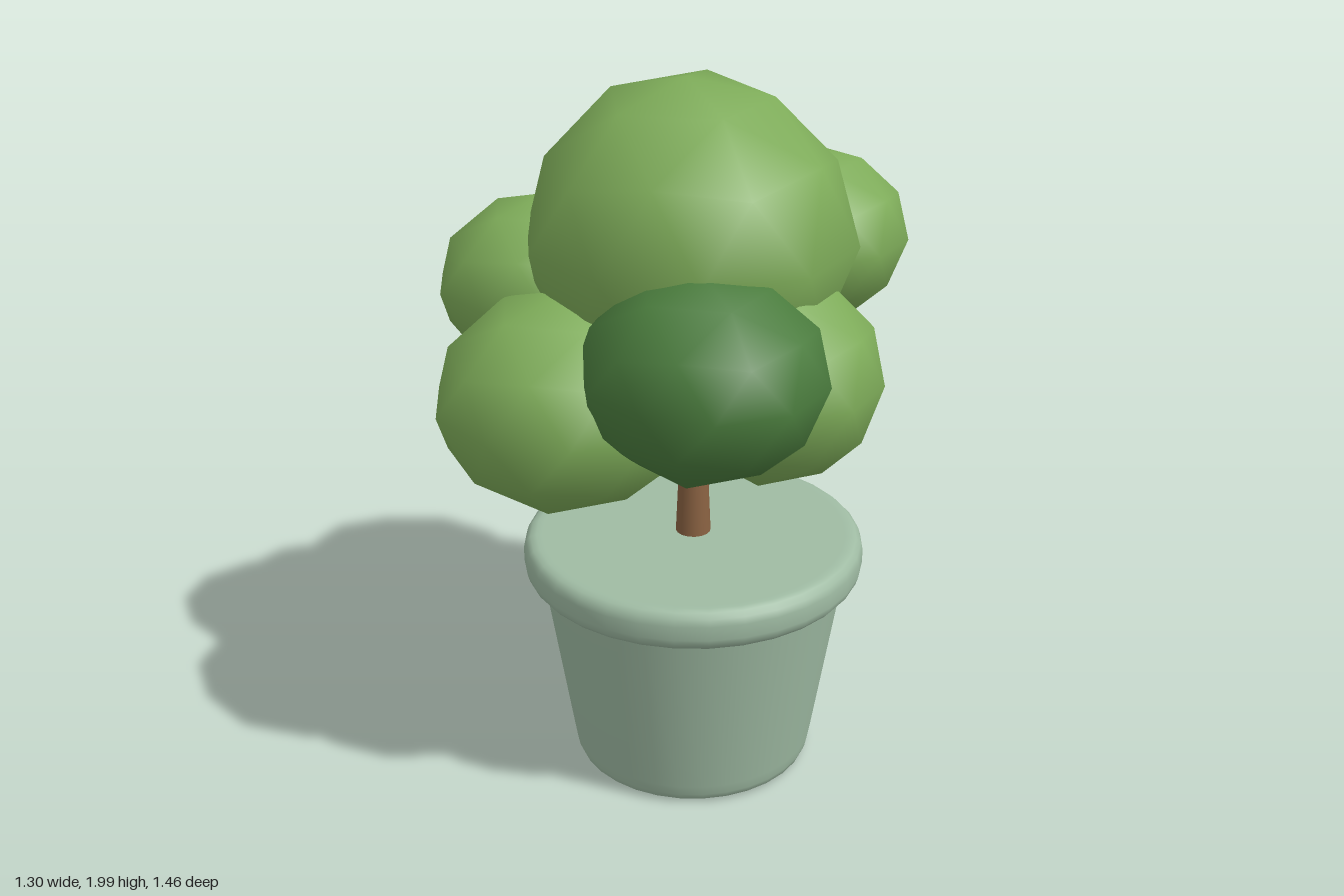
import * as THREE from 'three';
import { mergeVertices } from 'three/addons/utils/BufferGeometryUtils.js';

const flat = (name, color) => {
  const m = new THREE.MeshStandardMaterial({ color });
  m.name = name;
  return m;
};

// Smooth-shaded 80-sided lump with a corner straight up, sized about its centre.
// Each bulge [x, y, z, amount] swells or dents the side facing that direction.
function lumpGeometry(centre, radii, spin, bulges) {
  let g = new THREE.IcosahedronGeometry(1, 1);
  g.deleteAttribute('uv');
  g.deleteAttribute('normal');
  g = mergeVertices(g, 1e-3);
  g.rotateZ(-Math.atan(2 / (1 + Math.sqrt(5))));
  g.rotateY(spin);
  const p = g.attributes.position;
  const v = new THREE.Vector3();
  for (let i = 0; i < p.count; i++) {
    v.fromBufferAttribute(p, i);
    let s = 1;
    for (const [x, y, z, amount] of bulges) {
      const facing = v.dot(new THREE.Vector3(x, y, z).normalize());
      s += amount * Math.max(0, (facing - 0.6) / 0.4);
    }
    p.setXYZ(i, v.x * s, v.y * s, v.z * s);
  }
  g.scale(...radii);
  g.translate(...centre);
  g.computeVertexNormals();
  return g;
}

export function createModel() {
  const model = new THREE.Group();
  model.name = 'pottedTree';

  const lightLeaf = flat('light leaf green', 0x7eac59);
  const darkLeaf = flat('dark leaf green', 0x4b7d3e);
  const bark = flat('bark brown', 0x8a6242);
  const clay = flat('sage clay', 0x9fbba3);

  const add = (name, geometry, material, parent = model) => {
    const mesh = new THREE.Mesh(geometry, material);
    mesh.name = name;
    parent.add(mesh);
    return mesh;
  };
  const lathe = (pts) =>
    new THREE.LatheGeometry(pts.map(([r, y]) => new THREE.Vector2(r, y)), 32);

  // Pot: tapered body and rounded rim with a closed top
  const pot = new THREE.Group();
  pot.name = 'pot';
  pot.position.set(0.037, 0, 0.007);
  model.add(pot);
  add('potBody', lathe([
    [0, 0], [0.31, 0], [0.325, 0.002], [0.338, 0.012], [0.345, 0.03],
    [0.351, 0.06], [0.429, 0.56], [0.434, 0.6],
  ]), clay, pot);
  add('potRim', lathe([
    [0.40, 0.58], [0.445, 0.58], [0.462, 0.585], [0.475, 0.6], [0.481, 0.62],
    [0.481, 0.66], [0.475, 0.68], [0.462, 0.693], [0.445, 0.697], [0.43, 0.697], [0, 0.697],
  ]), clay, pot);

  // Trunk
  const trunk = add('trunk', new THREE.CylinderGeometry(0.034, 0.05, 0.36, 16), bark);
  trunk.position.set(0.037, 0.867, 0.007);

  // Foliage: name, material, centre, radii, spin, bulges
  const foliage = new THREE.Group();
  foliage.name = 'foliage';
  model.add(foliage);
  [
    ['crownLump', lightLeaf, [0.015, 1.575, 0.015], [0.435, 0.425, 0.425], 0,
      [[0.7, 0.1, 0.7, 0.08], [0, 0.55, -0.85, 0.09], [-0.4, 0.85, 0, -0.02]]],
    ['backLump', darkLeaf, [0.06, 1.4, -0.42], [0.325, 0.262, 0.305], Math.PI / 10,
      [[-0.55, 0, -0.8, 0.12], [0.65, 0, -0.75, 0.12], [0, -0.6, -0.8, 0.08]]],
    ['frontLump', darkLeaf, [0.02, 1.335, 0.41], [0.325, 0.268, 0.31], 0,
      [[-0.7, 0, 0.7, -0.1]]],
    ['leftBackLump', lightLeaf, [0.372, 1.482, -0.258], [0.292, 0.248, 0.284], 0, []],
    ['rightBackLump', lightLeaf, [-0.35, 1.393, -0.17], [0.306, 0.247, 0.285], 0, []],
    ['rightFrontLump', lightLeaf, [-0.315, 1.185, 0.167], [0.352, 0.295, 0.343], 0, []],
    ['leftFrontLump', lightLeaf, [0.22, 1.25, 0.215], [0.297, 0.285, 0.305], 0, []],
  ].forEach(([name, material, ...shape]) =>
    add(name, lumpGeometry(...shape), material, foliage));

  return model;
}
